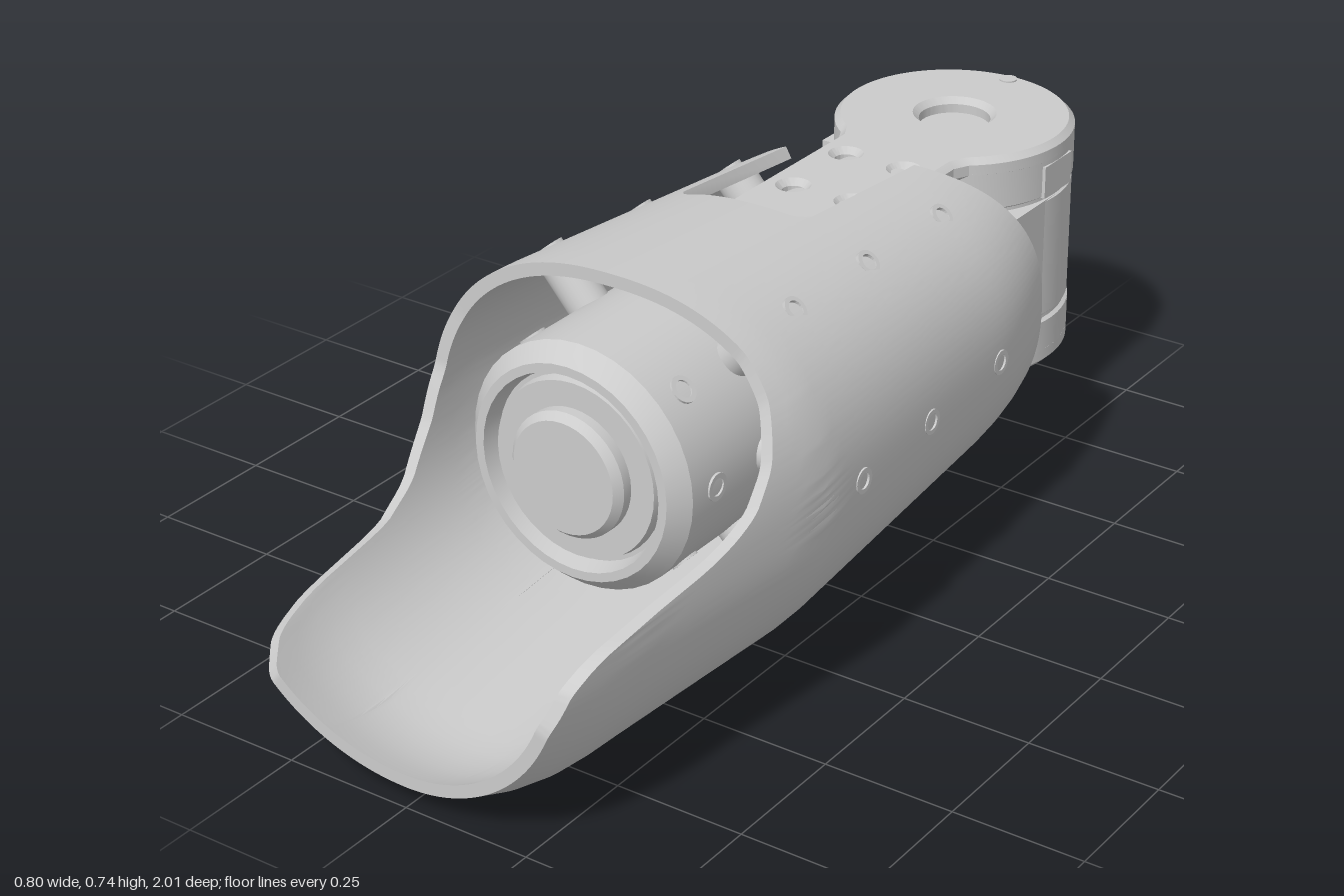
import * as THREE from 'three';
import { toCreasedNormals } from 'three/addons/utils/BufferGeometryUtils.js';

const AX = -0.04, AY = 0.39;   // axis of the motor body
const JZ = -0.77, R = 0.235;   // joint centre and radius
const material = new THREE.MeshStandardMaterial({ color: 0xcccccc });
const rad = THREE.MathUtils.degToRad;

function add(parent, name, geometry, x = 0, y = 0, z = 0) {
  const mesh = new THREE.Mesh(geometry, material);
  mesh.name = name;
  mesh.position.set(x, y, z);
  parent.add(mesh);
  return mesh;
}

function lathe(points, segments = 64) {
  const g = new THREE.LatheGeometry(points.map(p => new THREE.Vector2(...p)), segments);
  return toCreasedNormals(g, 0.4);
}

// Shell cross-section: superellipse that widens forward and tapers at the lip
function section(z, side) {
  const lip = Math.max(0, z - 0.35), tail = Math.max(0, -0.3 - z), end = Math.max(0, z - 0.8);
  let a = 0.373 + 0.07 * Math.min(z, 0.35) - 0.6 * tail * tail - 0.6 * end * end;
  a += side > 0 ? -0.1 * Math.min(lip, 0.45) : 0.02 * lip;
  const b = 0.327 + 0.07 * z - 1.35 * end * end;
  return { a, b, n: 2.35 - 0.5 * lip };
}

// Front edge of the shell: angle in degrees (0 = left side, 90 = top) against z
const FRONT = [[90, 0.4], [150, 0.4], [170, 0.41], [180, 0.44], [195, 0.52], [203, 0.62], [206, 0.8],
  [212, 0.93], [222, 1], [337, 1], [350, 0.97], [356, 0.92], [359, 0.85], [361, 0.7], [363, 0.62],
  [368, 0.53], [378, 0.47], [395, 0.42], [410, 0.4], [450, 0.4]];
function frontAt(deg) {
  const d = deg < 90 ? deg + 360 : deg > 450 ? deg - 360 : deg;
  const k = Math.max(1, FRONT.findIndex(p => p[0] >= d));
  const [d0, z0] = FRONT[k - 1], [d1, z1] = FRONT[k];
  return z0 + (z1 - z0) * (d - d0) / (d1 - d0);
}
function frontEdge(deg) {
  let sum = 0;
  for (let o = -2; o <= 2; o++) sum += frontAt(deg + o);
  return sum / 5;
}

// Back edge: notches for the two plates, long on the left side
function backEdge(deg) {
  const c = Math.cos(rad(deg));
  const x = 0.345 * Math.sign(c) * Math.abs(c) ** 0.85;
  const off = Math.abs(x - AX);
  if (off < 0.135) return -0.03 - 0.035 * Math.max(0, (off - 0.1) / 0.035) ** 2;
  return c > 0 ? -0.38 - 0.16 * c ** 1.3 : -0.39 + 0.05 * c * c;
}

function shellGeometry() {
  const M = 360, N = 24, wall = 0.024, loop = 2 * (N + 1);
  const pos = [], index = [];
  for (let i = 0; i < M; i++) {
    const deg = 90 + i, c = Math.cos(rad(deg)), s = Math.sin(rad(deg));
    const z0 = backEdge(deg), z1 = frontEdge(deg);
    for (let j = 0; j < loop; j++) {
      const outer = j <= N;
      const z = z0 + (z1 - z0) * (outer ? j : loop - 1 - j) / N;
      const { a, b, n } = section(z, c), t = outer ? 0 : wall;
      pos.push((a - t) * Math.sign(c) * Math.abs(c) ** (2 / n),
        AY + (b - t) * Math.sign(s) * Math.abs(s) ** (2 / n), z);
      const k = (j + 1) % loop, i2 = (i + 1) % M;
      const p = i * loop + j, q = i2 * loop + j, r = i * loop + k, u = i2 * loop + k;
      index.push(p, q, r, q, u, r);
    }
  }
  const g = new THREE.BufferGeometry();
  g.setAttribute('position', new THREE.Float32BufferAttribute(pos, 3));
  g.setIndex(index);
  return toCreasedNormals(g, 0.7);
}

// Distance from the motor axis to the shell's outer surface
function reach(angle, z) {
  for (let d = 0.25; d < 0.6; d += 0.001) {
    const x = AX + d * Math.cos(angle), y = d * Math.sin(angle);
    const { a, b, n } = section(z, x);
    if (Math.abs(x / a) ** n + Math.abs(y / b) ** n >= 1) return d;
  }
  return 0.4;
}

// Cylinder pointing away from the motor axis
function radial(parent, name, geometry, angle, d, z) {
  const m = add(parent, name, geometry, AX + d * Math.cos(angle), AY + d * Math.sin(angle), z);
  m.rotation.z = angle - Math.PI / 2;
}

// Screw head with a recessed socket
const screwGeometry = (r) => lathe([[0, -0.01], [r, -0.01], [r, 0.003], [r * 0.65, 0.003],
  [r * 0.65, -0.006], [0, -0.006]], 20);

// Keyhole plate: round joint cap with a stem
function plateGeometry(centreHole, rimHoles) {
  const al = Math.asin(0.13 / R), zj = JZ + R * Math.cos(al), s = new THREE.Shape();
  s.moveTo(-0.11, -0.03);
  s.lineTo(-0.13, -0.05);
  s.lineTo(-0.13, zj + 0.02);
  s.absarc(0, JZ, R, Math.PI / 2 + al + 0.08, Math.PI * 2.5 - al - 0.08, false);
  s.lineTo(0.13, zj + 0.02);
  s.lineTo(0.13, -0.05);
  s.lineTo(0.11, -0.03);
  const hole = (x, z, r) => s.holes.push(new THREE.Path().absarc(x, z, r, 0, Math.PI * 2, true));
  hole(0, JZ, centreHole);
  for (const z of [-0.48, -0.3, -0.12]) for (const x of [-0.065, 0.065]) hole(x, z, 0.022);
  for (let i = 0; i < rimHoles; i++) {
    const t = (i + 0.5) / rimHoles * Math.PI * 2;
    hole(0.18 * Math.cos(t), JZ + 0.18 * Math.sin(t), 0.011);
  }
  const g = new THREE.ExtrudeGeometry(s, { depth: 0.021, bevelThickness: 0.012, bevelSize: 0.012,
    bevelOffset: -0.012, bevelSegments: 1, curveSegments: 40 });
  g.rotateX(Math.PI / 2);
  return toCreasedNormals(g, 0.4);
}

export function createModel() {
  const model = new THREE.Group();
  model.name = 'armSegment';

  add(model, 'outerShell', shellGeometry());

  // Motor body with a stepped front face
  const motor = lathe([[0, -0.62], [0.16, -0.62], [0.195, -0.56], [R, -0.52], [R, 0.45], [0.205, 0.485],
    [0.188, 0.485], [0.18, 0.45], [0.172, 0.45], [0.168, 0.47], [0.12, 0.47], [0.12, 0.49],
    [0.107, 0.505], [0, 0.505]], 40);
  motor.rotateX(Math.PI / 2);
  add(model, 'motorBody', motor, AX, AY, 0);

  // Struts between motor and shell, with their screws
  const shellScrew = screwGeometry(0.024), motorScrew = screwGeometry(0.026);
  for (const deg of [0, 45, 131, 180, 229, 315]) {
    const angle = rad(deg);
    for (const z of [0.22, -0.03, -0.3]) {
      const d = reach(angle, z), length = d - 0.22;
      radial(model, 'strut', new THREE.CylinderGeometry(0.04, 0.04, length, 24, 1, true), angle, 0.205 + length / 2, z);
      radial(model, 'shellScrew', shellScrew, angle, d, z);
    }
    radial(model, 'motorScrew', motorScrew, angle, R, 0.38);
  }

  // Rear joint: drum with grooves, neck and keyhole plates
  add(model, 'jointDrum', lathe([[0, 0.185], [R, 0.185], [R, 0.25], [0.228, 0.255], [0.228, 0.262], [0.233, 0.267],
    [0.233, 0.51], [0.228, 0.513], [0.228, 0.52], [R, 0.525], [R, 0.6], [0, 0.6]]), AX, 0, JZ);
  add(model, 'jointNeck', new THREE.BoxGeometry(2 * R - 0.01, 0.245, 0.35), AX, AY, JZ + 0.175);
  add(model, 'topPlate', plateGeometry(0.07, 0), AX, 0.618, 0);
  add(model, 'bottomPlate', plateGeometry(0.14, 8), AX, 0.188, 0);
  add(model, 'bottomDisc', new THREE.CylinderGeometry(0.127, 0.127, 0.03, 48), AX, 0.178, JZ);
  add(model, 'rimPin', new THREE.CylinderGeometry(0.018, 0.018, 0.03, 16), AX, 0.618, JZ - 0.205);

  // Side cover pieces on the joint
  add(model, 'sideTab', new THREE.BoxGeometry(0.02, 0.065, 0.1), AX + R - 0.009, 0.555, JZ);
  add(model, 'sideBracket', new THREE.BoxGeometry(0.02, 0.24, 0.05), AX - R + 0.006, 0.43, JZ + 0.08);
  add(model, 'sideBracketFoot', new THREE.BoxGeometry(0.02, 0.06, 0.13), AX - R + 0.006, 0.34, JZ + 0.12);

  return model;
}
